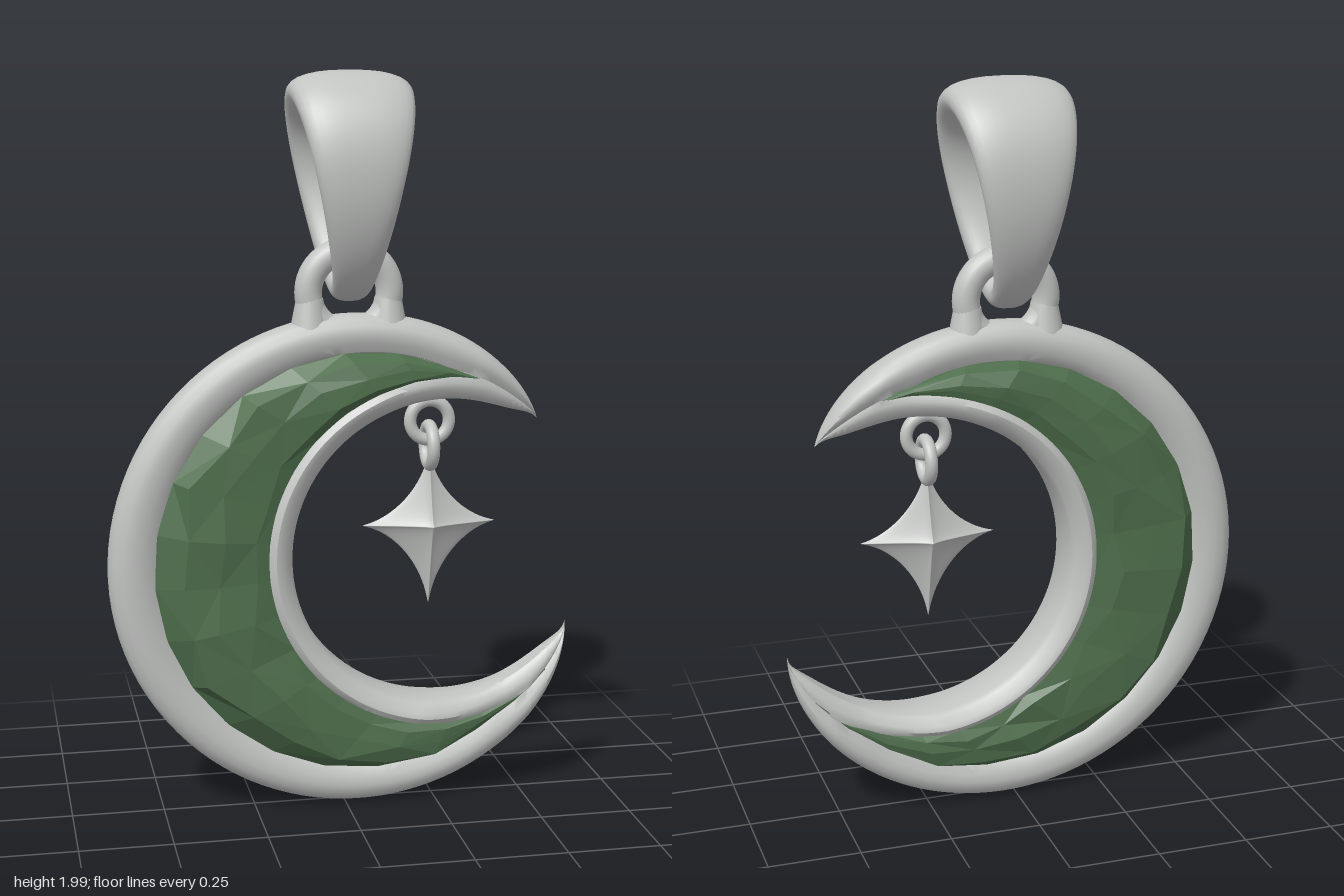
import * as THREE from 'three';
import { toCreasedNormals } from 'three/addons/utils/BufferGeometryUtils.js';

const lerp = THREE.MathUtils.lerp;
const rad = THREE.MathUtils.degToRad;

// Skin a list of closed cross-sections (arrays of Vector3)
function loft(rings, closed = false) {
  const n = rings[0].length, m = rings.length, index = [];
  for (let i = 0; i < (closed ? m : m - 1); i++) {
    for (let j = 0; j < n; j++) {
      const i2 = (i + 1) % m, j2 = (j + 1) % n;
      const a = i * n + j, b = i * n + j2, c = i2 * n + j, d = i2 * n + j2;
      if ((i + j) % 2) index.push(a, c, b, b, c, d);
      else index.push(a, c, d, a, d, b);
    }
  }
  const geo = new THREE.BufferGeometry().setFromPoints(rings.flat());
  geo.setIndex(index);
  geo.computeVertexNormals();
  return geo;
}

// Crescent station: s runs from -1 (upper tip) over the left side to 1 (lower tip)
function station(s) {
  const t = (s + 1) / 2, e = Math.abs(s);
  const ao = rad(lerp(37, 341, t)), ai = rad(lerp(53, 328, t));
  const ro = 0.68 - 0.055 * e ** 10;
  const outer = new THREE.Vector3(0.04 + ro * Math.cos(ao), 0.685 + ro * Math.sin(ao), 0);
  const inner = new THREE.Vector3(0.27 + 0.42 * Math.cos(ai), 0.71 + 0.42 * Math.sin(ai), 0);
  inner.lerp(outer, e ** 30);
  const dir = inner.clone().sub(outer);
  const w = dir.length();
  dir.normalize();
  const a = Math.min(0.12, 0.57 * w), b = Math.min(0.065, 0.43 * w);
  const gem = Math.max(0, w - a - b);
  return { w, a, b, gem, at: (u, z) => outer.clone().addScaledVector(dir, u).setZ(z) };
}

// Mirror a front half-profile [u, z] to the back and place it at a station
function section(st, front, back = front) {
  return [
    ...front.map(([u, z]) => st.at(u, z)),
    ...back.slice(1, -1).reverse().map(([u, z]) => st.at(u, -z)),
  ];
}

function frameGeometry() {
  const rings = [], N = 130;
  for (let i = 0; i <= N; i++) {
    const st = station(Math.sin((i / N - 0.5) * Math.PI));
    const { w, a, b, gem } = st;
    const taper = Math.min(1, w / 0.15) ** 0.6;
    const rim = 0.062 * taper;
    const lip = lerp(0.05, 0.1, Math.min(1, gem / 0.15)) * taper;
    const floor = lerp(0.046, 0.02, Math.min(1, gem / 0.05)) * taper;
    rings.push(section(st, [
      [0, 0], [0.03 * a, 0.4 * rim], [0.12 * a, 0.7 * rim], [0.3 * a, 0.92 * rim],
      [0.52 * a, rim], [0.75 * a, 0.93 * rim], [a, 0.75 * rim],
      [a + 0.1 * gem, floor], [w - b - 0.1 * gem, floor],
      [w - b, 0.9 * lip], [w - 0.75 * b, lip], [w - 0.5 * b, 0.96 * lip],
      [w - 0.12 * b, 0.72 * lip], [w, 0.58 * lip], [w, 0],
    ]));
  }
  return toCreasedNormals(loft(rings), 0.7);
}

function gemGeometry() {
  let seed = 7;
  const jitter = (k) => {
    seed = (seed * 16807) % 2147483647;
    return (seed / 2147483647 - 0.5) * 2 * k;
  };
  const rings = [], N = 19;
  for (let i = 0; i <= N; i++) {
    const st = station(lerp(-0.86, 0.89, i / N));
    const k = Math.min(1, st.gem / 0.13);
    const half = () => [[0, 0.045], [0.2, 0.094], [0.52, 0.104], [0.82, 0.1], [1, 0.085]].map(([f, z], j) => {
      const inside = j > 0 && j < 4;
      const ff = f + (inside ? jitter(0.08) : 0);
      return [st.a + ff * st.gem, lerp(0.043, z + (inside ? jitter(0.008) : 0), k)];
    });
    const first = [st.a, 0], last = [st.w - st.b, 0];
    rings.push(section(st, [first, ...half(), last], [first, ...half(), last]));
  }
  return loft(rings).toNonIndexed();
}

// Teardrop loop, wide at the top and narrow at the bottom
function bailGeometry() {
  const rings = [], N = 72, M = 28;
  const pow = (v, p) => Math.sign(v) * Math.abs(v) ** p;
  for (let i = 0; i < N; i++) {
    const p = (i / N) * Math.PI * 2, c = Math.cos(p), s = Math.sin(p);
    const y = 1.6875 + 0.2575 * c, z = 0.17 * s * (1 + 0.18 * c);
    const thick = 0.034 + 0.021 * Math.max(0, c) ** 2;
    const half = lerp(0.05, 0.162, (c + 1) / 2);
    const ring = [];
    for (let j = 0; j < M; j++) {
      const q = (j / M) * Math.PI * 2;
      const out = thick * pow(Math.sin(q), 0.85);
      ring.push(new THREE.Vector3(0.015 - half * pow(Math.cos(q), 0.8), y + out * c, z + out * s));
    }
    rings.push(ring);
  }
  return loft(rings, true);
}

// Four-pointed star: a sphere drawn in between its axes
function starGeometry() {
  const geo = new THREE.SphereGeometry(1, 64, 48);
  const pos = geo.attributes.position;
  const pull = (v, size, n) => (size - 0.012) * Math.sign(v) * Math.abs(v) ** n + 0.012 * v;
  for (let i = 0; i < pos.count; i++) {
    const y = pos.getY(i);
    pos.setXYZ(i, pull(pos.getX(i), 0.185, 3.2), pull(y, y > 0 ? 0.2 : 0.225, 3.2), pull(pos.getZ(i), 0.062, 2));
  }
  geo.computeVertexNormals();
  return geo;
}

export function createModel() {
  const group = new THREE.Group();
  const silver = new THREE.MeshStandardMaterial({ color: 0xc2c4c2 });
  silver.name = 'silver';
  const green = new THREE.MeshStandardMaterial({ color: 0x4e6e4c });
  green.name = 'green stone';

  const add = (name, geo, mat, x = 0, y = 0, z = 0) => {
    const mesh = new THREE.Mesh(geo, mat);
    mesh.name = name;
    mesh.position.set(x, y, z);
    group.add(mesh);
    return mesh;
  };

  // Crescent setting and its faceted stone
  add('crescentFrame', frameGeometry(), silver);
  const gem = gemGeometry();
  gem.computeVertexNormals();
  add('crescentStone', gem, green);

  // Hanging loop with flared feet, and the bail through it
  add('topLoop', new THREE.TorusGeometry(0.11, 0.037, 20, 56), silver, 0.015, 1.42);
  for (const side of [-1, 1]) {
    add('loopFoot', new THREE.CylinderGeometry(0.036, 0.052, 0.08, 24), silver, 0.015 + side * 0.106, 1.365);
  }
  add('bail', bailGeometry(), silver);

  // Two linked rings carrying the star
  const ring = new THREE.TorusGeometry(0.054, 0.017, 14, 40);
  add('upperRing', ring, silver, 0.238, 1.066);
  add('lowerRing', ring, silver, 0.238, 0.997).rotation.y = Math.PI / 2;
  add('star', starGeometry(), silver, 0.238, 0.78);

  return group;
}
